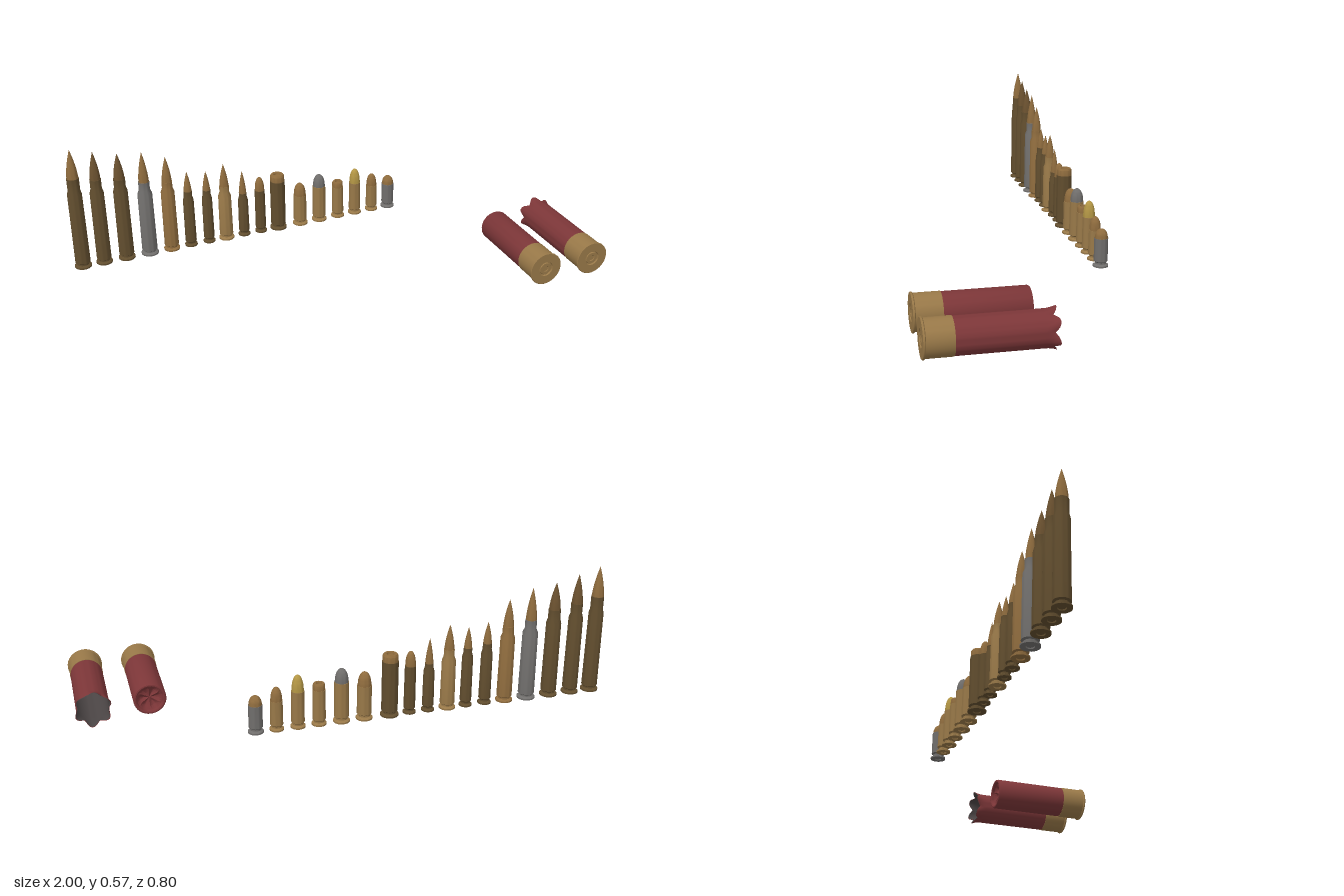
import * as THREE from 'three';
import { toCreasedNormals } from 'three/addons/utils/BufferGeometryUtils.js';

const BASE = 0.065; // height of the cartridge bottoms
const ROW_Z = -0.361;

const paint = (name, hex, side = THREE.FrontSide) => {
  const m = new THREE.MeshStandardMaterial({ color: hex, side });
  m.name = name;
  return m;
};

// Turned solid with sharp edges kept sharp
function turned(name, points, material, segments = 28, rule) {
  const geo = new THREE.LatheGeometry(points.map(([r, y]) => new THREE.Vector2(r, y)), segments);
  if (rule) {
    const p = geo.attributes.position;
    const v = new THREE.Vector3();
    for (let i = 0; i < p.count; i++) {
      v.fromBufferAttribute(p, i);
      rule(v, Math.atan2(v.x, v.z));
      p.setXYZ(i, v.x, v.y, v.z);
    }
  }
  const mesh = new THREE.Mesh(toCreasedNormals(geo, 0.6), material);
  mesh.name = name;
  return mesh;
}

// Case: primer dimple, rim, extractor groove, body, shoulder and neck
function caseProfile(r, neckR, shoulder, mouth) {
  const rim = r * 1.12;
  const pts = [
    [0, 0.003], [r * 0.4, 0.003], [r * 0.42, 0.006], [r * 0.48, 0.006], [r * 0.5, 0],
    [rim, 0], [rim, 0.006], [r * 0.78, 0.011], [r * 0.78, 0.017], [r, 0.022],
  ];
  if (shoulder) pts.push([r * 0.94, shoulder - BASE], [neckR, shoulder - BASE + 0.018]);
  pts.push([neckR, mouth - BASE], [neckR * 0.9, mouth - BASE]);
  return pts;
}

// Bullet: pointed, round or flat nose
function bulletProfile(r, from, to, nose) {
  const y0 = from - BASE - 0.002, h = to - BASE - y0;
  if (nose === 'flat') {
    return [[r, y0], [r, y0 + h * 0.8], [r * 0.86, y0 + h], [r * 0.5, y0 + h], [r * 0.42, y0 + h - 0.008], [0, y0 + h - 0.01]];
  }
  const power = nose === 'point' ? 1.6 : 2.3;
  const pts = [];
  for (let i = 0; i <= 10; i++) {
    const t = Math.sin((i / 10) * Math.PI / 2);
    const k = nose === 'point' ? 1 - Math.pow(t, power) : Math.pow(Math.max(0, 1 - Math.pow(t, power)), 0.5);
    pts.push([r * k, y0 + h * t]);
  }
  return pts;
}

export function createModel() {
  const root = new THREE.Group();
  root.name = 'ammunitionSet';

  const brass = paint('brass', 0x987848);
  const darkBrass = paint('dark brass', 0x614d2e);
  const copper = paint('copper', 0x8f6c3e);
  const darkCopper = paint('dark copper', 0x6c5230);
  const steel = paint('grey steel', 0x706e6c);
  const gold = paint('gold', 0xb39645);
  const red = paint('red plastic', 0x7c3638, THREE.DoubleSide);
  const inner = paint('dark lining', 0x4b4545, THREE.DoubleSide);

  // x, case radius, neck radius, shoulder height (0 = straight), mouth, tip, nose, case, bullet
  const rounds = [
    [-0.967, 0.030, 0.024, 0.385, 0.455, 0.573, 'point', darkBrass, copper],
    [-0.882, 0.029, 0.022, 0.375, 0.435, 0.550, 'point', darkBrass, darkCopper],
    [-0.790, 0.030, 0.023, 0.365, 0.420, 0.526, 'point', darkBrass, darkCopper],
    [-0.695, 0.031, 0.022, 0.335, 0.388, 0.515, 'point', steel, copper],
    [-0.603, 0.029, 0.021, 0.325, 0.372, 0.478, 'point', copper, copper],
    [-0.521, 0.023, 0.017, 0.270, 0.312, 0.397, 'point', darkBrass, copper],
    [-0.443, 0.022, 0.016, 0.265, 0.302, 0.385, 'point', darkBrass, copper],
    [-0.368, 0.028, 0.020, 0.260, 0.305, 0.403, 'point', brass, copper],
    [-0.290, 0.022, 0.016, 0.225, 0.258, 0.357, 'point', darkBrass, copper],
    [-0.216, 0.022, 0.021, 0, 0.257, 0.315, 'round', darkBrass, copper],
    [-0.137, 0.031, 0.031, 0, 0.285, 0.314, 'flat', darkBrass, copper],
    [-0.038, 0.028, 0.027, 0, 0.200, 0.254, 'round', brass, copper],
    [0.050, 0.028, 0.027, 0, 0.225, 0.278, 'round', brass, steel],
    [0.136, 0.025, 0.024, 0, 0.205, 0.230, 'flat', brass, copper],
    [0.216, 0.025, 0.024, 0, 0.210, 0.273, 'round', brass, gold],
    [0.296, 0.024, 0.023, 0, 0.182, 0.235, 'round', brass, copper],
    [0.374, 0.026, 0.026, 0, 0.175, 0.211, 'round', steel, copper],
  ];
  rounds.forEach(([x, r, neck, shoulder, mouth, tip, nose, caseMat, bulletMat], i) => {
    const g = new THREE.Group();
    g.name = `cartridge${i + 1}`;
    g.add(
      turned('case', caseProfile(r, neck, shoulder, mouth), caseMat),
      turned('bullet', bulletProfile(neck * 0.94, mouth, tip, nose), bulletMat),
    );
    g.position.set(x, BASE, ROW_Z);
    root.add(g);
  });

  // Shotgun shells lie with their heads toward the front
  const shell = (name, x) => {
    const g = new THREE.Group();
    g.name = name;
    g.add(turned('head', [
      [0, 0.005], [0.011, 0.005], [0.013, 0.002], [0.024, 0.002], [0.026, 0.006], [0.029, 0.006], [0.031, 0],
      [0.067, 0], [0.069, 0.002], [0.069, 0.006], [0.065, 0.009], [0.065, 0.102], [0.0625, 0.102],
    ], brass, 36));
    g.rotation.x = -Math.PI / 2;
    g.position.set(x, 0.0735, 0.4);
    root.add(g);
    return g;
  };

  // Closed shell: rolled lip and a folded six-part star crimp
  const closed = shell('closedShell', 0.711);
  closed.add(
    turned('hull', [[0.0635, 0.1], [0.0635, 0.399], [0.061, 0.404], [0.056, 0.405], [0.051, 0.402], [0.049, 0.392]], red, 36),
    turned('crimp', [[0.049, 0.392], [0.036, 0.388], [0.02, 0.384], [0, 0.38]], red, 36, (v, a) => {
      const r = Math.hypot(v.x, v.z);
      v.y -= 0.009 * Math.abs(Math.sin(3 * a)) * Math.min(1, r / 0.02) * Math.min(1, (0.049 - r) / 0.012);
    }),
  );

  // Fired shell: open hull whose mouth splays into six torn petals
  const fired = shell('firedShell', 0.928);
  const splay = (v, a) => {
    const t = Math.max(0, (v.y - 0.39) / 0.038);
    if (t <= 0) return;
    const peak = Math.abs(Math.cos(3 * a + 0.35));
    const k = 1 + t * t * (0.22 * peak * peak - 0.07);
    v.x *= k;
    v.z *= k;
    v.y += t * (0.018 * peak - 0.008);
  };
  const mouth = (r) => [[r, 0.1], [r, 0.39], [r, 0.403], [r, 0.416], [r, 0.428]];
  fired.add(
    turned('tornHull', mouth(0.0635), red, 48, splay),
    turned('lining', [[0, 0.12], [0.0615, 0.12], ...mouth(0.0615).slice(1)], inner, 48, splay),
  );
  return root;
}
